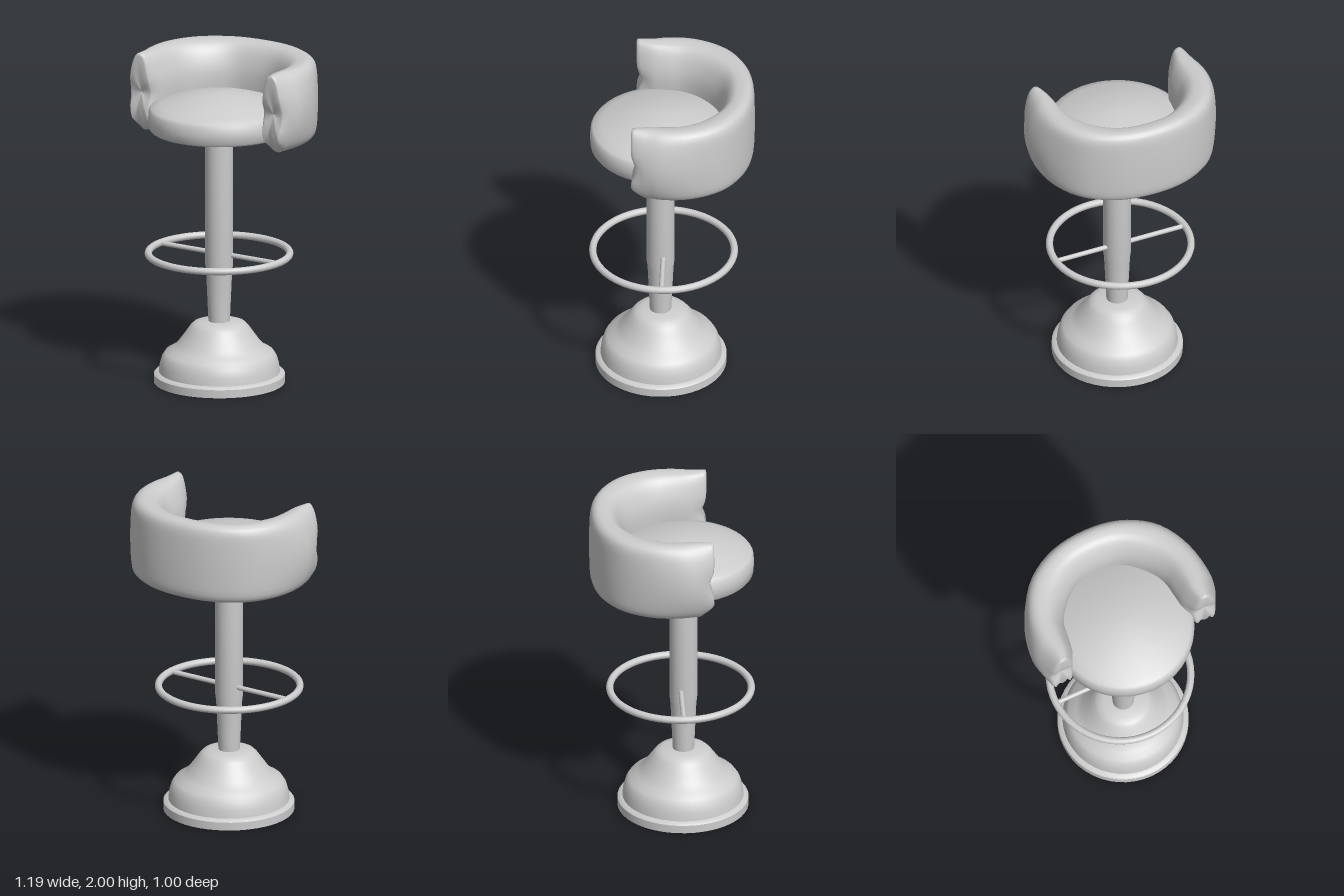
import * as THREE from 'three';
import { toCreasedNormals } from 'three/addons/utils/BufferGeometryUtils.js';

const grey = new THREE.MeshStandardMaterial({ color: 0xcccccc });
grey.name = 'pale grey';

const AXIS_Z = 0.065; // centre line of seat, column and base

function addMesh(group, name, geometry, x = 0, y = 0, z = 0) {
  const mesh = new THREE.Mesh(geometry, grey);
  mesh.name = name;
  mesh.position.set(x, y, z);
  group.add(mesh);
  return mesh;
}

// Turned part from [radius, height] pairs, bottom to top
function turned(profile, segments = 40) {
  const points = profile.map(([r, y]) => new THREE.Vector2(r, y));
  return toCreasedNormals(new THREE.LatheGeometry(points, segments), 0.75);
}

// Mirrored plan curve from the points of its +x half, [x, z], back to front
function planCurve(half) {
  const left = half.slice(1).reverse().map(([x, z]) => [-x, z]);
  return new THREE.CatmullRomCurve3([...left, ...half].map(([x, z]) => new THREE.Vector3(x, 0, z)));
}

// Horseshoe backrest: a padded section swept between an inner and an outer plan curve
function backrestGeometry() {
  const outer = planCurve([[0, -0.497], [0.236, -0.46], [0.43, -0.34], [0.555, -0.14], [0.594, 0.05], [0.575, 0.15], [0.545, 0.23]]);
  const inner = planCurve([[0, -0.297], [0.14, -0.275], [0.27, -0.17], [0.335, -0.06], [0.352, 0.04], [0.367, 0.13], [0.405, 0.225]]);
  // u runs from 0 (inside) to 1 (outside)
  const section = new THREE.CatmullRomCurve3([
    [0, 1.7], [0, 1.82], [0.13, 1.92], [0.32, 1.98], [0.55, 2], [0.84, 1.995], [0.97, 1.95], [1, 1.84],
    [1, 1.66], [0.97, 1.56], [0.84, 1.52], [0.6, 1.515], [0.3, 1.53], [0.08, 1.59],
  ].map(([u, y]) => new THREE.Vector3(u, y, 0)), true);
  const around = 44;
  const along = 52;

  // rows of [t, size]; the shrinking rows close the two arm ends
  const rows = [[0, 0], [0, 0.5], [0, 0.86], [0.005, 0.95]];
  for (let i = 1; i < along; i++) rows.push([i / along, 1]);
  rows.push([0.995, 0.95], [1, 0.86], [1, 0.5], [1, 0]);

  const positions = [];
  const index = [];
  rows.forEach(([t, size], i) => {
    const a = inner.getPoint(t);
    const b = outer.getPoint(t);
    const side = Math.abs(2 * t - 1);
    const bulge = 0.27 * THREE.MathUtils.smoothstep(side, 0.3, 0.8);
    const end = THREE.MathUtils.smoothstep(side, 0.8, 1);
    for (let j = 0; j < around; j++) {
      const p = section.getPoint(j / around);
      // arms lean in towards top and bottom on their outer face
      let u = p.x * (1 - bulge * ((p.y - 1.757) / 0.245) ** 2);
      u = 0.5 + (u - 0.5) * size;
      const y = 1.76 + (p.y - 1.76) * (size < 1 ? Math.min(1, size + 0.08 * size) : 1);
      // arm fronts are pinched at mid height and cut back at the bottom
      const pinch = 0.03 * Math.exp(-(((y - 1.75) / 0.06) ** 2));
      const foot = 0.07 * (1 - THREE.MathUtils.smoothstep(y, 1.515, 1.61));
      positions.push(
        THREE.MathUtils.lerp(a.x, b.x, u), y,
        THREE.MathUtils.lerp(a.z, b.z, u) - end * (pinch + foot),
      );
      if (i < rows.length - 1) {
        const k = (j + 1) % around;
        const p0 = i * around + j, p1 = p0 + around;
        const q0 = i * around + k, q1 = q0 + around;
        index.push(p0, p1, q0, p1, q1, q0);
      }
    }
  });
  const geometry = new THREE.BufferGeometry();
  geometry.setAttribute('position', new THREE.Float32BufferAttribute(positions, 3));
  geometry.setIndex(index);
  geometry.computeVertexNormals();
  return geometry;
}

export function createModel() {
  const stool = new THREE.Group();
  stool.name = 'barStool';

  // Bell-shaped foot
  addMesh(stool, 'base', turned([
    [0, 0], [0.394, 0], [0.394, 0.05], [0.383, 0.06], [0.364, 0.065], [0.358, 0.11], [0.345, 0.155],
    [0.325, 0.185], [0.28, 0.21], [0.245, 0.247], [0.2, 0.31], [0.175, 0.345], [0.155, 0.365],
    [0.12, 0.377], [0, 0.38],
  ], 48), 0, 0, AXIS_Z);

  // Column with a tapered lower sleeve
  addMesh(stool, 'column', turned([
    [0.064, 0.36], [0.07, 0.5], [0.078, 0.68], [0.084, 0.73], [0.084, 1.58],
  ], 32), 0, 0, 0.068);

  // Foot ring and its cross bar
  const ring = new THREE.TorusGeometry(0.425, 0.022, 12, 56);
  ring.rotateX(Math.PI / 2);
  addMesh(stool, 'footRing', ring, -0.013, 0.79, 0.05);
  const bar = new THREE.CylinderGeometry(0.015, 0.015, 0.84, 12);
  bar.rotateZ(Math.PI / 2);
  addMesh(stool, 'crossBar', bar, -0.013, 0.79, 0.05);

  // Domed seat cushion
  addMesh(stool, 'seat', turned([
    [0, 1.566], [0.415, 1.566], [0.426, 1.58], [0.43, 1.63], [0.426, 1.685], [0.412, 1.703],
    [0.36, 1.722], [0.27, 1.752], [0.17, 1.778], [0.08, 1.792], [0, 1.797],
  ], 48), 0, 0, 0.062);

  // Wrap-around padded back and arms
  addMesh(stool, 'backrest', backrestGeometry());

  return stool;
}
